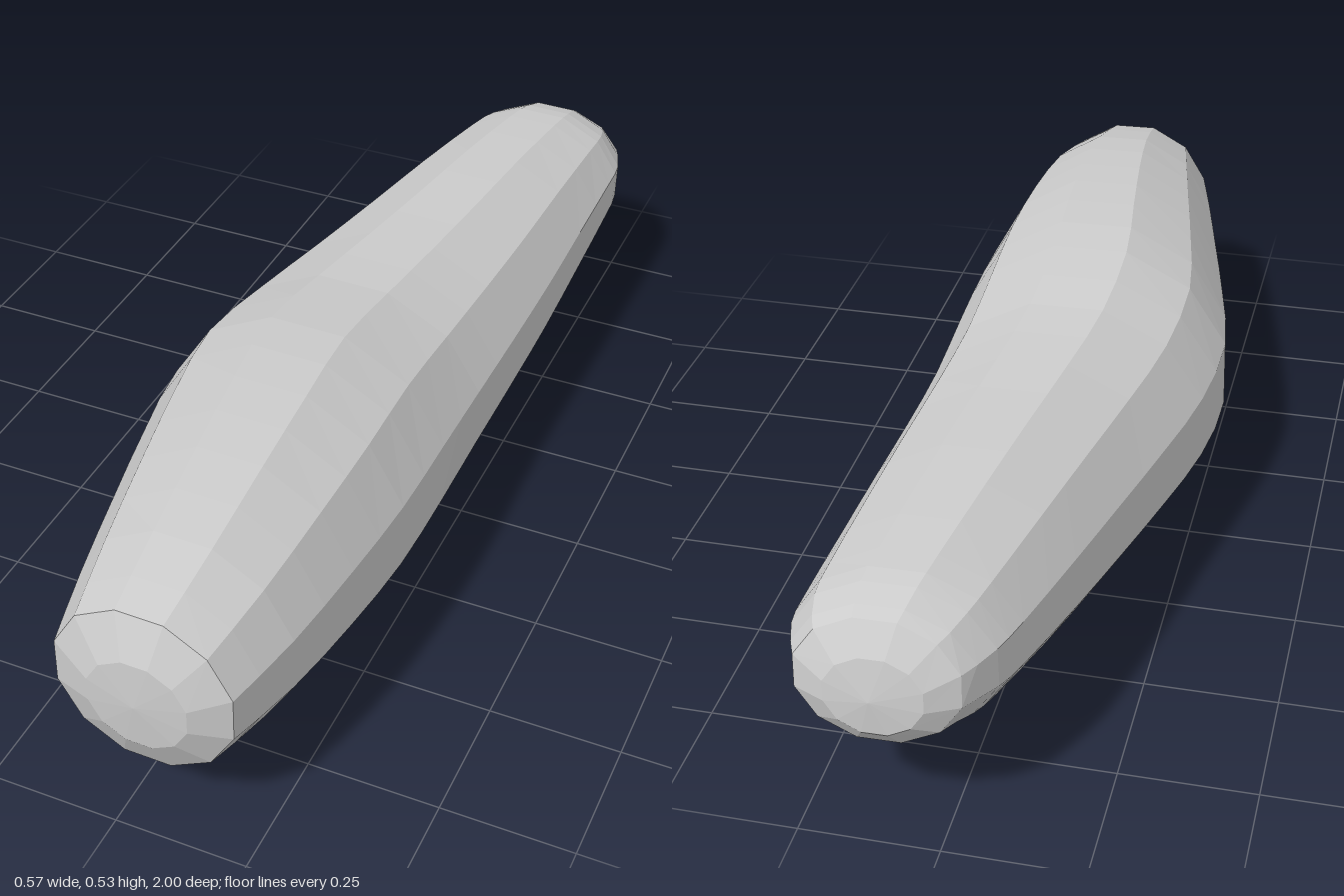
import * as THREE from 'three';

const SIDES = 12;
const OFFSET = THREE.MathUtils.degToRad(14);

// Stations along the body: z, min x, max x, min y, max y
const STATIONS = [
  [0.957, -0.115, 0.217, 0.137, 0.465],
  [0.8, -0.153, 0.252, 0.097, 0.503],
  [0.6, -0.2, 0.272, 0.05, 0.526],
  [0.4, -0.247, 0.282, 0.013, 0.533],
  [0.2, -0.284, 0.28, 0.002, 0.525],
  [0.0, -0.27, 0.276, 0.012, 0.498],
  [-0.2, -0.23, 0.278, 0.032, 0.486],
  [-0.4, -0.187, 0.281, 0.06, 0.48],
  [-0.6, -0.145, 0.281, 0.097, 0.474],
  [-0.8, -0.1, 0.281, 0.142, 0.462],
  [-0.88, -0.076, 0.277, 0.165, 0.451],
  [-0.958, -0.035, 0.25, 0.2, 0.425],
];

// One twelve-sided cross-section fitted to its extents; tilt leans its top towards the front
function ring([z, x0, x1, y0, y1], tilt = 0) {
  const k = Math.cos(OFFSET);
  const points = [];
  for (let i = 0; i < SIDES; i++) {
    const a = OFFSET + (i / SIDES) * Math.PI * 2;
    points.push(new THREE.Vector3(
      (x0 + x1) / 2 + ((x1 - x0) / 2 / k) * Math.cos(a),
      (y0 + y1) / 2 + ((y1 - y0) / 2 / k) * Math.sin(a),
      z + tilt * Math.sin(a)
    ));
  }
  return points;
}

// Skin of quads between neighbouring rings, listed from front to back
function loft(rings) {
  const pos = [];
  const tri = (...v) => v.forEach((p) => pos.push(p.x, p.y, p.z));
  for (let r = 0; r < rings.length - 1; r++) {
    for (let i = 0; i < SIDES; i++) {
      const j = (i + 1) % SIDES;
      const [a, b] = [rings[r][i], rings[r][j]];
      const [c, d] = [rings[r + 1][i], rings[r + 1][j]];
      tri(a, c, d);
      tri(a, d, b);
    }
  }
  const geo = new THREE.BufferGeometry();
  geo.setAttribute('position', new THREE.Float32BufferAttribute(pos, 3));
  geo.computeVertexNormals();
  return geo;
}

// Ring shrunk to a single centre point, closing an end
const pole = (x, y, z) => Array.from({ length: SIDES }, () => new THREE.Vector3(x, y, z));

// Smooth value of one station column at t in 0..1
function sample(t) {
  const f = t * (STATIONS.length - 1);
  const i = Math.min(Math.floor(f), STATIONS.length - 2);
  const u = f - i;
  const at = (n) => STATIONS[THREE.MathUtils.clamp(n, 0, STATIONS.length - 1)];
  return STATIONS[i].map((_, c) => {
    const [p0, p1, p2, p3] = [at(i - 1)[c], at(i)[c], at(i + 1)[c], at(i + 2)[c]];
    const [v0, v1] = [(p2 - p0) / 2, (p3 - p1) / 2];
    return (2 * p1 - 2 * p2 + v0 + v1) * u ** 3 + (3 * p2 - 3 * p1 - 2 * v0 - v1) * u * u + v0 * u + p1;
  });
}

export function createModel() {
  const group = new THREE.Group();
  const material = new THREE.MeshStandardMaterial({ color: 0xcccccc, flatShading: true });
  const add = (name, rings) => {
    const mesh = new THREE.Mesh(loft(rings), material);
    mesh.name = name;
    group.add(mesh);
  };

  // Long bulging body
  const steps = (STATIONS.length - 1) * 2;
  const body = [];
  for (let s = 0; s <= steps; s++) body.push(ring(sample(s / steps), s === steps ? 0.014 : 0));
  add('body', body);

  // Bevelled blunt ends
  add('frontEnd', [pole(0.055, 0.3, 1), ring([0.993, -0.035, 0.15, 0.21, 0.39]), body[0]]);
  add('backEnd', [
    body[steps],
    ring([-0.99, 0.02, 0.19, 0.235, 0.375], 0.008),
    pole(0.11, 0.3, -1),
  ]);
  return group;
}
